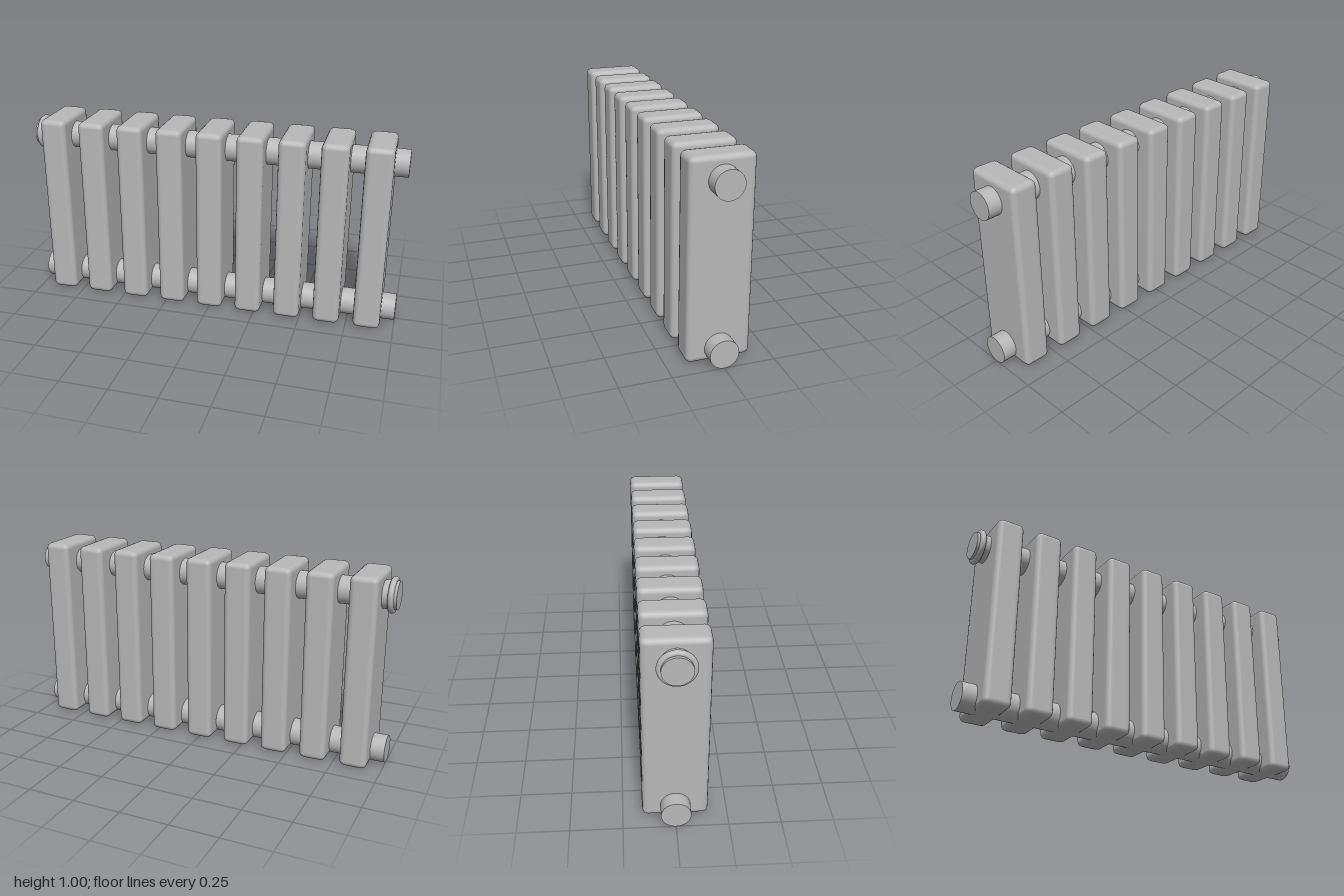
import * as THREE from 'three';
import { RoundedBoxGeometry } from 'three/addons/geometries/RoundedBoxGeometry.js';

export function createModel() {
  const radiator = new THREE.Group();
  radiator.name = 'radiator';

  const metal = new THREE.MeshStandardMaterial({ color: 0xb8b8b8 });
  metal.name = 'grey metal';

  const add = (name, geometry, x, y) => {
    const mesh = new THREE.Mesh(geometry, metal);
    mesh.name = name;
    mesh.position.set(x, y, 0);
    radiator.add(mesh);
  };

  // Upright heating columns
  const columnCount = 9;
  const columnSpacing = 0.2145;
  const columnGeometry = new RoundedBoxGeometry(0.14, 0.997, 0.314, 2, 0.028);
  for (let i = 0; i < columnCount; i++) {
    add(`column${i + 1}`, columnGeometry, (i - (columnCount - 1) / 2) * columnSpacing, 0.5015);
  }

  // Horizontal pipes running through all columns
  const pipeRadius = 0.071;
  const upperPipeY = 0.888;
  const pipeGeometry = new THREE.CylinderGeometry(pipeRadius, pipeRadius, 2, 48).rotateZ(Math.PI / 2);
  add('lowerPipe', pipeGeometry, 0, pipeRadius);
  add('upperPipe', pipeGeometry, 0, upperPipeY);

  // Valve ring around the right end of the upper pipe
  const ringGeometry = new THREE.TorusGeometry(0.076, 0.015, 16, 48).rotateY(Math.PI / 2);
  add('valveRing', ringGeometry, -0.972, upperPipeY);

  return radiator;
}
